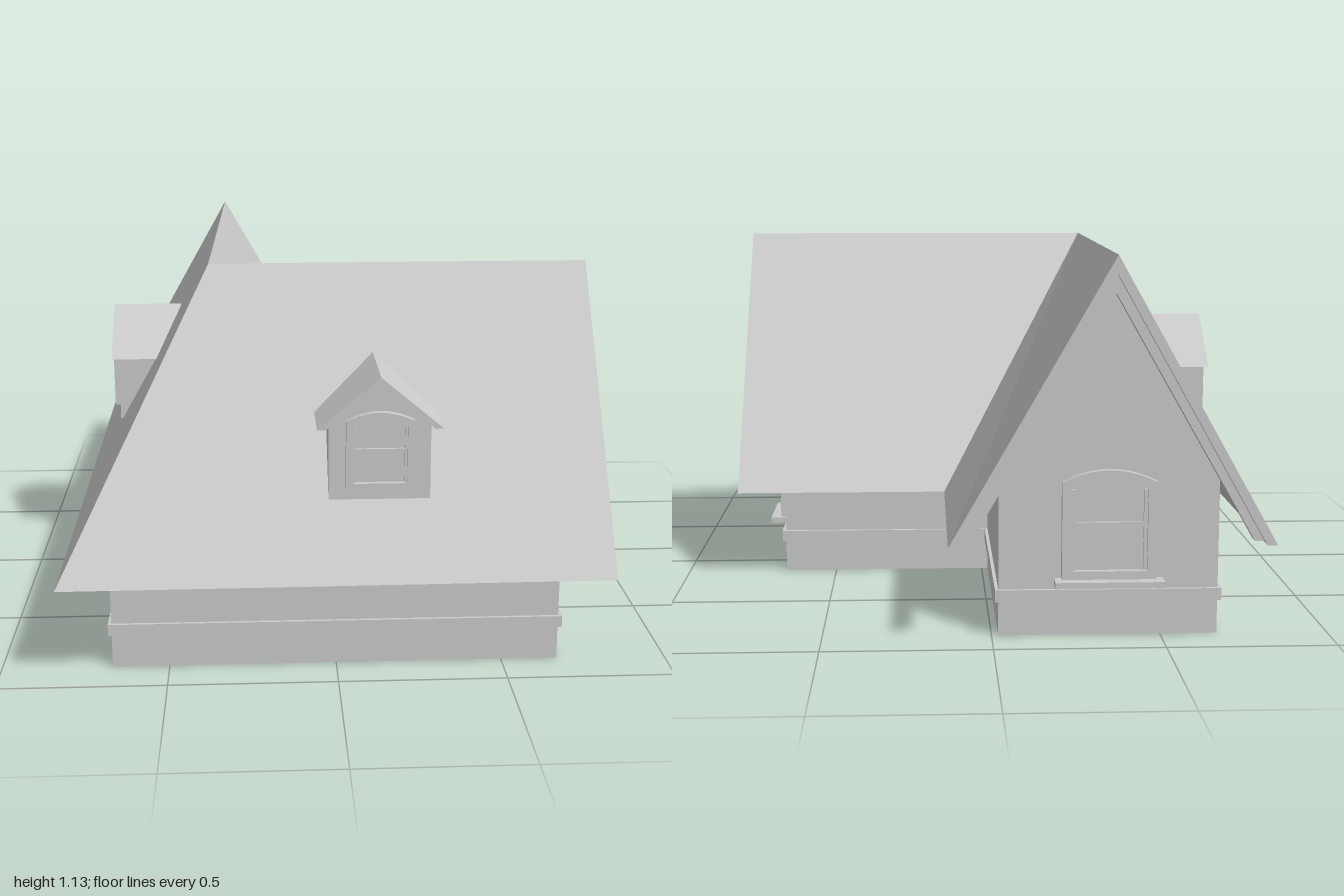
import * as THREE from 'three';

const mat = new THREE.MeshStandardMaterial({ color: 0xcccccc, flatShading: true, side: THREE.DoubleSide });

function add(parent, name, geometry, x = 0, y = 0, z = 0) {
  const mesh = new THREE.Mesh(geometry, mat);
  mesh.name = name;
  mesh.position.set(x, y, z);
  parent.add(mesh);
  return mesh;
}

function group(parent, name, x, y, z, turn = 0) {
  const g = new THREE.Group();
  g.name = name;
  g.position.set(x, y, z);
  g.rotation.y = turn;
  parent.add(g);
  return g;
}

const box = (parent, name, w, h, d, x, y, z) => add(parent, name, new THREE.BoxGeometry(w, h, d), x, y, z);

// Flat polygons, each cut into a fan of triangles
function polygons(faces) {
  const pos = [];
  for (const f of faces)
    for (let i = 1; i < f.length - 1; i++) pos.push(...f[0], ...f[i], ...f[i + 1]);
  const g = new THREE.BufferGeometry();
  g.setAttribute('position', new THREE.Float32BufferAttribute(pos, 3));
  g.computeVertexNormals();
  return g;
}

const polygon = (pts) => new THREE.Shape(pts.map(([x, y]) => new THREE.Vector2(x, y)));
const extrude = (shape, depth) => new THREE.ExtrudeGeometry(shape, { depth, bevelEnabled: false, curveSegments: 10 });

// Upright opening with a shallow arched top
function arch(w, y0, spring, rise) {
  const s = new THREE.Shape();
  s.moveTo(-w / 2, y0);
  s.lineTo(w / 2, y0);
  s.lineTo(w / 2, spring);
  s.quadraticCurveTo(0, spring + 2 * rise, -w / 2, spring);
  s.closePath();
  return s;
}

// Inverted V with level feet
function chevron(half, eave, peak, t) {
  const inner = half - t * half / (peak - eave);
  return polygon([[-half, eave], [-inner, eave], [0, peak - t], [inner, eave], [half, eave], [0, peak]]);
}

// Arched window: frame, pane, middle bar and optional sill
function addWindow(parent, name, x, y, z, w, h, sill) {
  const g = group(parent, name, x, y, z);
  const t = w * 0.1, rise = w * 0.13;
  const frame = arch(w, 0, h - rise, rise);
  frame.holes.push(arch(w - 2 * t, t, h - rise - t * 0.7, rise * 0.85));
  add(g, 'windowFrame', extrude(frame, 0.022));
  add(g, 'windowPane', extrude(arch(w - t, t / 2, h - rise - t / 2, rise * 0.9), 0.005));
  box(g, 'windowBar', w - 2 * t, t * 0.6, 0.014, 0, h * 0.5, 0.007);
  for (const s of [-1, 1]) box(g, 'sashSide', t * 0.4, h - rise - 1.6 * t, 0.014, s * (w / 2 - 1.2 * t), h / 2 - rise / 2, 0.007);
  if (sill) box(g, 'windowSill', w * 1.15, 0.018, 0.055, 0, -0.006, 0.0275);
}

// Dormer whose back follows the slope of the main roof
function addDormer(parent, name, x, z, turn, slope) {
  const g = group(parent, name, x, 0, z, turn);
  const base = 0.51;
  const fit = (geometry, front) => {
    const p = geometry.attributes.position;
    for (let i = 0; i < p.count; i++)
      p.setZ(i, p.getZ(i) > 0.5 ? front : -(p.getY(i) - base) / slope - 0.012);
    geometry.computeVertexNormals();
    return geometry;
  };
  const body = polygon([[-0.15, base], [0.15, base], [0.15, 0.745], [0, 0.868], [-0.15, 0.745]]);
  add(g, 'dormerBody', fit(extrude(body, 1), 0));
  add(g, 'dormerRoof', fit(extrude(chevron(0.185, 0.73, 0.885, 0.022), 1), 0.022));
  addWindow(g, 'dormerWindow', 0, 0.545, 0, 0.2, 0.235, false);
}

export function createModel() {
  const house = new THREE.Group();
  house.name = 'house';

  // Walls: L-shaped plan [x, z, top at start, top at end, gable peak z/x]
  const plan = [
    [-0.67, 0.87, 0.41, 0.41], [0.67, 0.87, 0.41, 0.41, [0.67, 1.07, 0.37]],
    [0.67, -0.13, 0.41, 0.41], [-0.02, -0.13, 0.51, 0.51],
    [-0.02, -0.87, 0.51, 0.51, [-0.345, 1.07, -0.87]], [-0.67, -0.87, 0.51, 0.41],
  ];
  add(house, 'walls', polygons(plan.map(([x, z, h0, h1, peak], i) => {
    const [nx, nz] = plan[(i + 1) % plan.length];
    return [[x, 0, z], [nx, 0, nz], [nx, h1, nz], ...(peak ? [peak] : []), [x, h0, z]];
  })));

  // Raised band around the walls, left out of the entrance gable
  plan.forEach(([x, z], i) => {
    if (i === 1) return;
    const [nx, nz] = plan[(i + 1) % plan.length];
    box(house, 'wallBand', Math.abs(nx - x) + 0.02, 0.036, Math.abs(nz - z) + 0.02, (x + nx) / 2, 0.122, (z + nz) / 2);
  });

  // Main roof: top corners and matching underside corners
  const t = 0.055;
  const top = {
    A: [-0.815, 0.3, 1], B: [0.815, 0.3, 0.99], R: [0.815, 1.13, 0.37], E: [0.815, 0.3, -0.26],
    V: [0.13, 0.3, -0.26], W: [0.13, 0.3, -1], S: [-0.345, 1.13, -1], L: [-0.815, 0.3, -1], C: [-0.375, 1.13, 0.375],
  };
  const inset = { A: [0.03, -0.042], B: [0, -0.042], E: [0, 0.042], V: [-0.03, 0.042], W: [-0.03, 0], L: [0.03, 0] };
  const under = {};
  for (const k in top) {
    const [x, y, z] = top[k], [dx, dz] = inset[k] || [0, 0];
    under[k] = [x + dx, inset[k] ? y : y - t, z + dz];
  }
  const slopes = ['ABRC', 'REVC', 'ACSL', 'CVWS'];
  const rim = [...'ABREVWSL'];
  add(house, 'mainRoof', polygons([
    ...slopes.map((s) => [...s].map((k) => top[k])),
    ...slopes.map((s) => [...s].reverse().map((k) => under[k])),
    ...rim.map((k, i) => {
      const n = rim[(i + 1) % rim.length];
      return [top[k], under[k], under[n], top[n]];
    }),
  ]));

  // Entrance gable: timber frame, door and window
  const front = group(house, 'entranceGable', 0.67, 0, 0.37, Math.PI / 2);
  add(front, 'gableRafters', extrude(chevron(0.585, 0.305, 1.08, 0.05), 0.04), 0, 0, 0.06);
  add(front, 'wallRafters', extrude(chevron(0.5, 0.41, 1.07, 0.035), 0.012));
  for (const s of [-1, 1]) {
    box(front, 'post', 0.042, 0.88, 0.028, s * 0.148, 0.44, 0.01);
    box(front, 'lowerBand', 0.335, 0.036, 0.024, s * 0.335, 0.122, 0);
  }
  box(front, 'crossBeam', 0.85, 0.034, 0.02, 0, 0.515, 0.008);
  box(front, 'upperBeam', 0.26, 0.042, 0.02, 0, 0.81, 0.008);
  const doorTrim = arch(0.258, 0, 0.41, 0.042);
  doorTrim.holes.push(arch(0.25, 0.001, 0.372, 0.042));
  add(front, 'doorTrim', extrude(doorTrim, 0.018));
  add(front, 'door', extrude(arch(0.25, 0, 0.372, 0.042), 0.008));
  for (const u of [-0.064, 0, 0.064]) box(front, 'doorSeam', 0.005, 0.36, 0.006, u, 0.19, 0.008);
  add(front, 'doorRing', new THREE.TorusGeometry(0.022, 0.005, 6, 14), -0.092, 0.18, 0.014);
  box(front, 'doorLatch', 0.02, 0.018, 0.018, -0.092, 0.204, 0.012);
  addWindow(front, 'gableWindow', 0.338, 0.17, 0, 0.2, 0.24, true);

  // Back gable: rafters and a larger window
  const back = group(house, 'backGable', -0.345, 0, -0.87, Math.PI);
  add(back, 'gableRafters', extrude(chevron(0.445, 0.305, 1.08, 0.06), 0.04), 0, 0, 0.06);
  addWindow(back, 'backWindow', 0, 0.17, 0, 0.28, 0.33, true);

  // Dormers on the front and right-hand slopes
  addDormer(house, 'frontDormer', 0.128, 0.842, 0, 1.317);
  addDormer(house, 'sideDormer', -0.703, -0.187, -Math.PI / 2, 1.8);

  return house;
}
